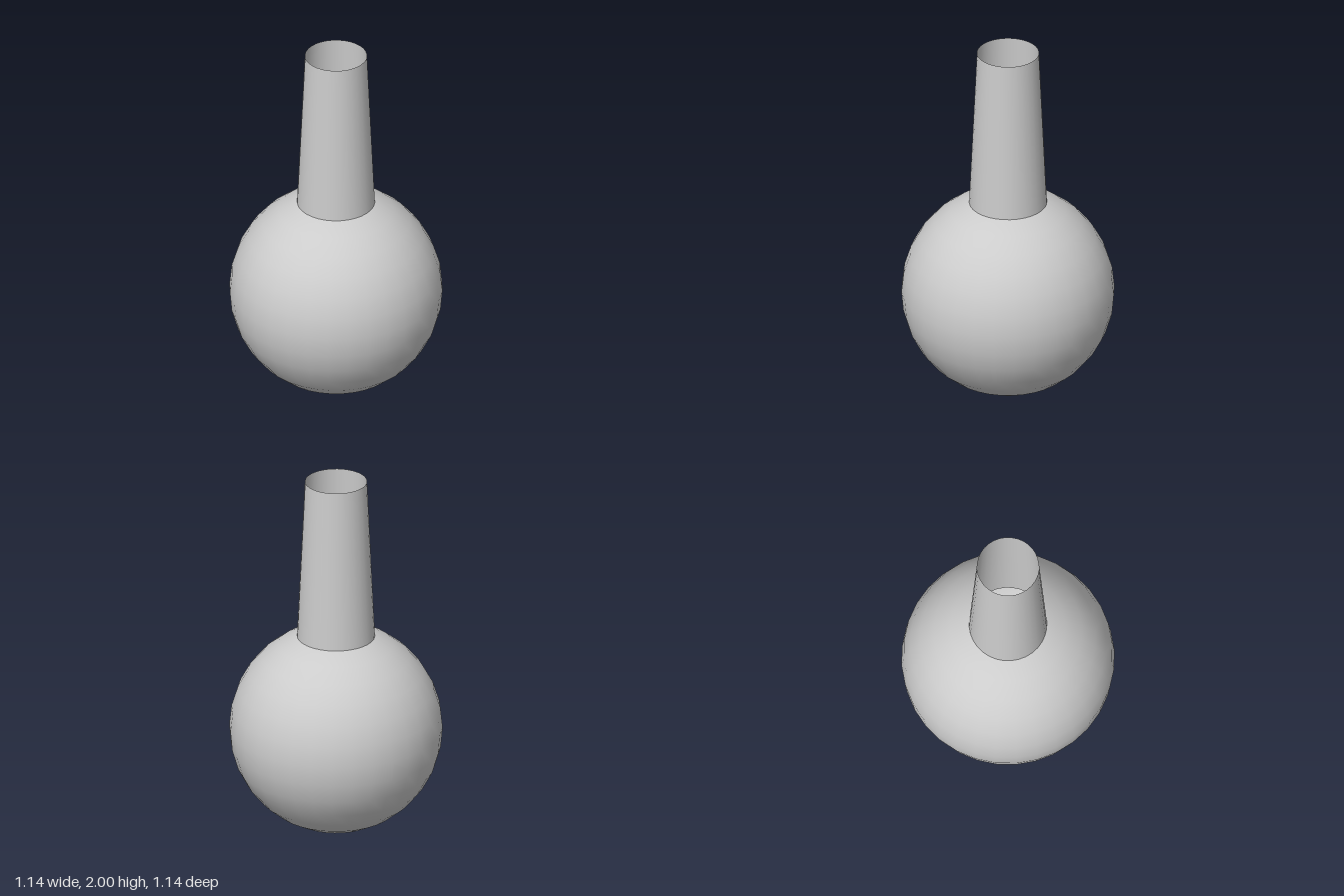
import * as THREE from 'three';

export function createModel() {
  const group = new THREE.Group();
  const material = new THREE.MeshStandardMaterial({ color: 0xcccccc, side: THREE.DoubleSide });

  const radius = 0.57;
  const neckBase = 0.208;
  const neckTop = 0.166;
  const opening = Math.asin(neckBase / radius);
  const joinY = radius + radius * Math.cos(opening);

  // Hollow round body, open where the neck joins
  const body = new THREE.Mesh(
    new THREE.SphereGeometry(radius, 32, 14, 0, Math.PI * 2, opening, Math.PI - opening),
    material
  );
  body.name = 'body';
  body.position.y = radius;
  group.add(body);

  // Tapered open neck
  const height = 2 - joinY;
  const neck = new THREE.Mesh(
    new THREE.CylinderGeometry(neckTop, neckBase, height, 32, 1, true),
    material
  );
  neck.name = 'neck';
  neck.position.y = joinY + height / 2;
  group.add(neck);

  return group;
}
